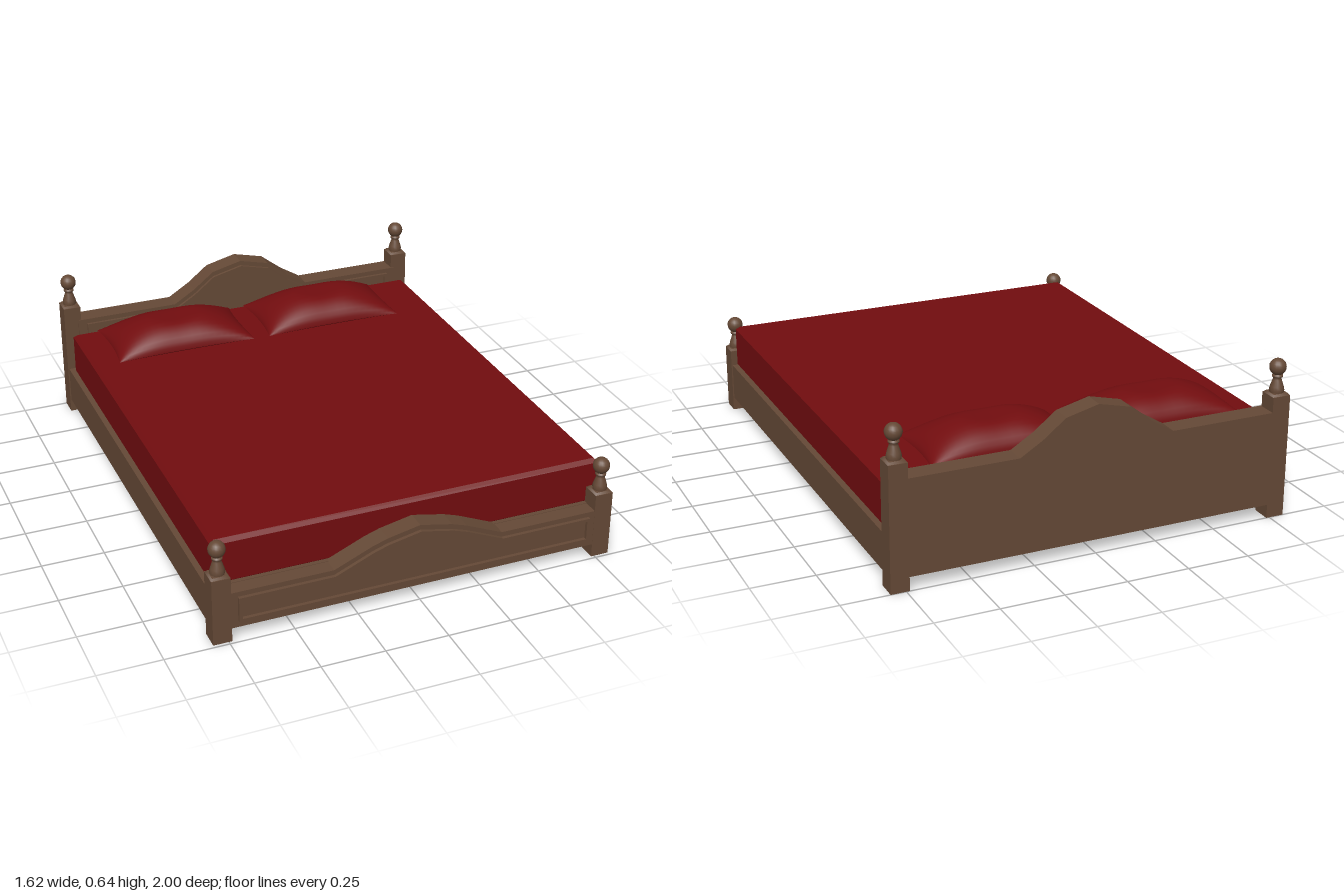
import * as THREE from 'three';

const wood = new THREE.MeshStandardMaterial({ color: 0x654936 });
const cloth = new THREE.MeshStandardMaterial({ color: 0x720d0f });

function add(parent, name, geometry, material, x = 0, y = 0, z = 0) {
  const mesh = new THREE.Mesh(geometry, material);
  mesh.name = name;
  mesh.position.set(x, y, z);
  parent.add(mesh);
  return mesh;
}

// Closed symmetric outline: flat bottom, arched top given by its right half (outer to centre)
function outline(half, bottom, arch, drop = 0) {
  const right = [[half, arch[0][1]], ...arch].map(([x, y]) => [x, y - drop]);
  const left = right.slice(0, -1).reverse().map(([x, y]) => [-x, y]);
  return [[-half, bottom], [half, bottom], ...right, ...left].map(([x, y]) => new THREE.Vector2(x, y));
}

// Arched board with a raised trim frame on its front face
function board(name, arch, bottom, trimBottom, z0, z1, trimDepth) {
  const group = new THREE.Group();
  group.name = name;
  const panel = new THREE.Shape(outline(0.75, bottom, arch));
  add(group, 'panel', new THREE.ExtrudeGeometry(panel, { depth: z1 - z0, bevelEnabled: false }), wood, 0, 0, z0);
  const frame = new THREE.Shape(outline(0.712, trimBottom, arch, 0.02));
  frame.holes.push(new THREE.Path(outline(0.7, trimBottom + 0.012, arch, 0.032)));
  add(group, 'trimFrame', new THREE.ExtrudeGeometry(frame, { depth: trimDepth, bevelEnabled: false }), wood, 0, 0, z1);
  return group;
}

// Square post with a turned vase and ball on top
function post(name, x, z, height) {
  const group = new THREE.Group();
  group.name = name;
  group.position.set(x, 0, z);
  add(group, 'postBlock', new THREE.BoxGeometry(0.073, height - 0.008, 0.078), wood, 0, (height - 0.008) / 2, 0);
  const cap = new THREE.CylinderGeometry(0.042, 0.051, 0.008, 4, 1);
  cap.rotateY(Math.PI / 4);
  add(group, 'postCap', cap, wood, 0, height - 0.004, 0);
  const profile = [[0.027, 0], [0.029, 0.012], [0.026, 0.025], [0.017, 0.052], [0.014, 0.06],
    [0.021, 0.063], [0.021, 0.069], [0.012, 0.073], [0.012, 0.08]].map(([r, y]) => new THREE.Vector2(r, y));
  add(group, 'turnedNeck', new THREE.LatheGeometry(profile, 14), wood, 0, height - 0.002, 0);
  add(group, 'ball', new THREE.SphereGeometry(0.033, 16, 12), wood, 0, height + 0.1, 0);
  return group;
}

// Stuffed pillow: two puffed sheets with pinched sides and pointed corners
function pillowGeometry(w, d, up, down) {
  const nu = 28, nv = 18, pos = [], index = [];
  for (const side of [1, -1]) {
    const base = pos.length / 3;
    for (let j = 0; j <= nv; j++) for (let i = 0; i <= nu; i++) {
      const u = -Math.cos((Math.PI * i) / nu), v = -Math.cos((Math.PI * j) / nv);
      const puff = Math.pow(1 - u * u, 0.62) * Math.pow(1 - v * v, 0.5);
      const sag = 1 - 0.08 * Math.exp(-u * u * 12);
      const x = (u * w / 2) * (1 - 0.045 * (1 - v * v));
      const z = (v * d / 2) * (1 - 0.07 * (1 - u * u));
      const y = side > 0 ? up * Math.min(1, puff * 1.12) * sag : -down * puff;
      pos.push(x, y, z);
      if (i < nu && j < nv) {
        const a = base + j * (nu + 1) + i, b = a + 1, c = a + nu + 1, e = c + 1;
        if (side > 0) index.push(a, c, b, b, c, e);
        else index.push(a, b, c, b, e, c);
      }
    }
  }
  const g = new THREE.BufferGeometry();
  g.setAttribute('position', new THREE.Float32BufferAttribute(pos, 3));
  g.setIndex(index);
  g.computeVertexNormals();
  return g;
}

// Mattress: box with a chamfer round every edge
function mattressGeometry(w, h, d, c) {
  const s = new THREE.Shape();
  const x = w / 2 - c, z = d / 2 - c;
  s.moveTo(-x, -z).lineTo(x, -z).lineTo(x, z).lineTo(-x, z).closePath();
  const g = new THREE.ExtrudeGeometry(s, { depth: h - 2 * c, bevelThickness: c, bevelSize: c, bevelSegments: 1 });
  g.rotateX(-Math.PI / 2);
  g.translate(0, c, 0);
  return g;
}

export function createModel() {
  const bed = new THREE.Group();
  bed.name = 'bed';

  // Closed base with side rails
  add(bed, 'baseAndRails', new THREE.BoxGeometry(1.61, 0.152, 1.87), wood, 0, 0.131, -0.01);

  // Head and foot boards
  bed.add(board('headboard', [[0.31, 0.435], [0.22, 0.49], [0.13, 0.56], [0, 0.592]], 0.055, 0.24, -1, -0.917, 0.012));
  bed.add(board('footboard', [[0.34, 0.205], [0.19, 0.27], [0.13, 0.29], [0, 0.317]], 0.055, 0.083, 0.908, 0.986, 0.014));

  // Corner posts
  for (const s of [1, -1]) {
    const side = s > 0 ? 'Left' : 'Right';
    bed.add(post('head' + side + 'Post', s * 0.7735, -0.961, 0.503));
    bed.add(post('foot' + side + 'Post', s * 0.7735, 0.948, 0.279));
  }

  // Bedding
  add(bed, 'mattress', mattressGeometry(1.565, 0.19, 1.805, 0.015), cloth, 0, 0.195, 0.0075);
  const pillow = pillowGeometry(0.605, 0.335, 0.1, 0.02);
  add(bed, 'rightPillow', pillow, cloth, -0.378, 0.397, -0.702);
  add(bed, 'leftPillow', pillow, cloth, 0.293, 0.397, -0.702);

  return bed;
}
